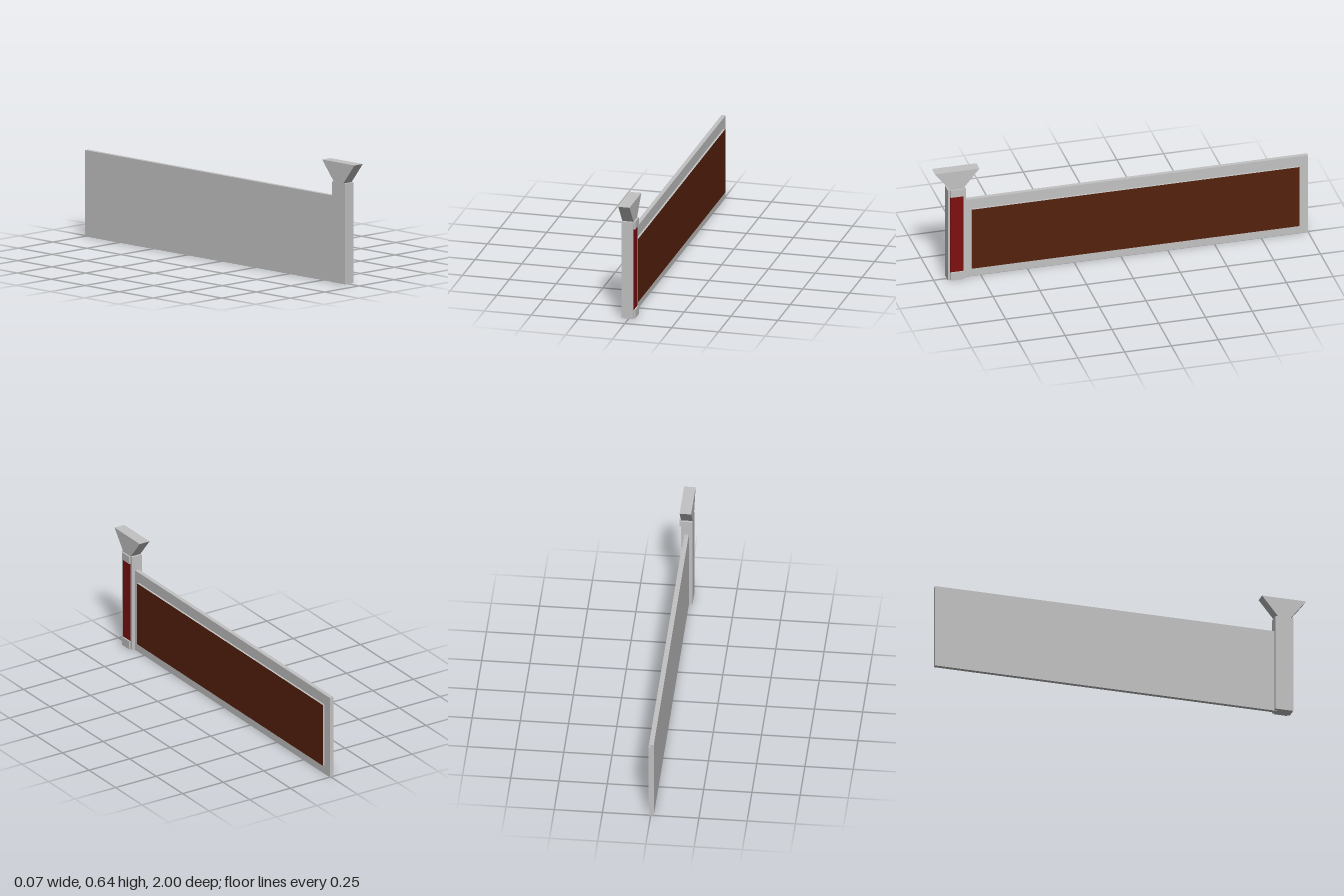
import * as THREE from 'three';

export function createModel() {
  const group = new THREE.Group();
  const mat = (name, color) => {
    const m = new THREE.MeshStandardMaterial({ color });
    m.name = name;
    return m;
  };
  const grey = mat('light grey', 0xc2c2c2);
  const brown = mat('brown', 0x56210d);
  const red = mat('dark red', 0x7d0f10);

  // Box given by its limits on each axis
  const box = (name, material, [x0, x1], [y0, y1], [z0, z1]) => {
    const mesh = new THREE.Mesh(new THREE.BoxGeometry(x1 - x0, y1 - y0, z1 - z0), material);
    mesh.position.set((x0 + x1) / 2, (y0 + y1) / 2, (z0 + z1) / 2);
    mesh.name = name;
    group.add(mesh);
    return mesh;
  };

  // Long wall with a raised panel, brown only on its outer face (+x)
  box('wall', grey, [-0.016, 0.006], [0, 0.452], [-1, 0.848]);
  box('wallPanel', [brown, grey, grey, grey, grey, grey], [0.006, 0.017], [0.048, 0.395], [-0.95, 0.8]);

  // Post with a red strip between two raised blocks
  const postX = [-0.035, 0.025];
  box('post', grey, postX, [0.003, 0.531], [0.835, 0.931]);
  box('postStrip', red, [0.025, 0.0262], [0.048, 0.49], [0.848, 0.918]);
  box('lowerBlock', grey, [0.025, 0.034], [0.003, 0.048], [0.848, 0.918]);
  box('upperBlock', grey, [0.025, 0.034], [0.49, 0.531], [0.848, 0.918]);

  // Flared cap, a trapezoid extruded across the post
  const profile = new THREE.Shape([
    new THREE.Vector2(-0.918, 0.531),
    new THREE.Vector2(-0.848, 0.531),
    new THREE.Vector2(-0.762, 0.636),
    new THREE.Vector2(-1, 0.636),
  ]);
  const capGeometry = new THREE.ExtrudeGeometry(profile, { depth: postX[1] - postX[0], bevelEnabled: false });
  capGeometry.rotateY(Math.PI / 2);
  const cap = new THREE.Mesh(capGeometry, grey);
  cap.position.x = postX[0];
  cap.name = 'postCap';
  group.add(cap);

  return group;
}
